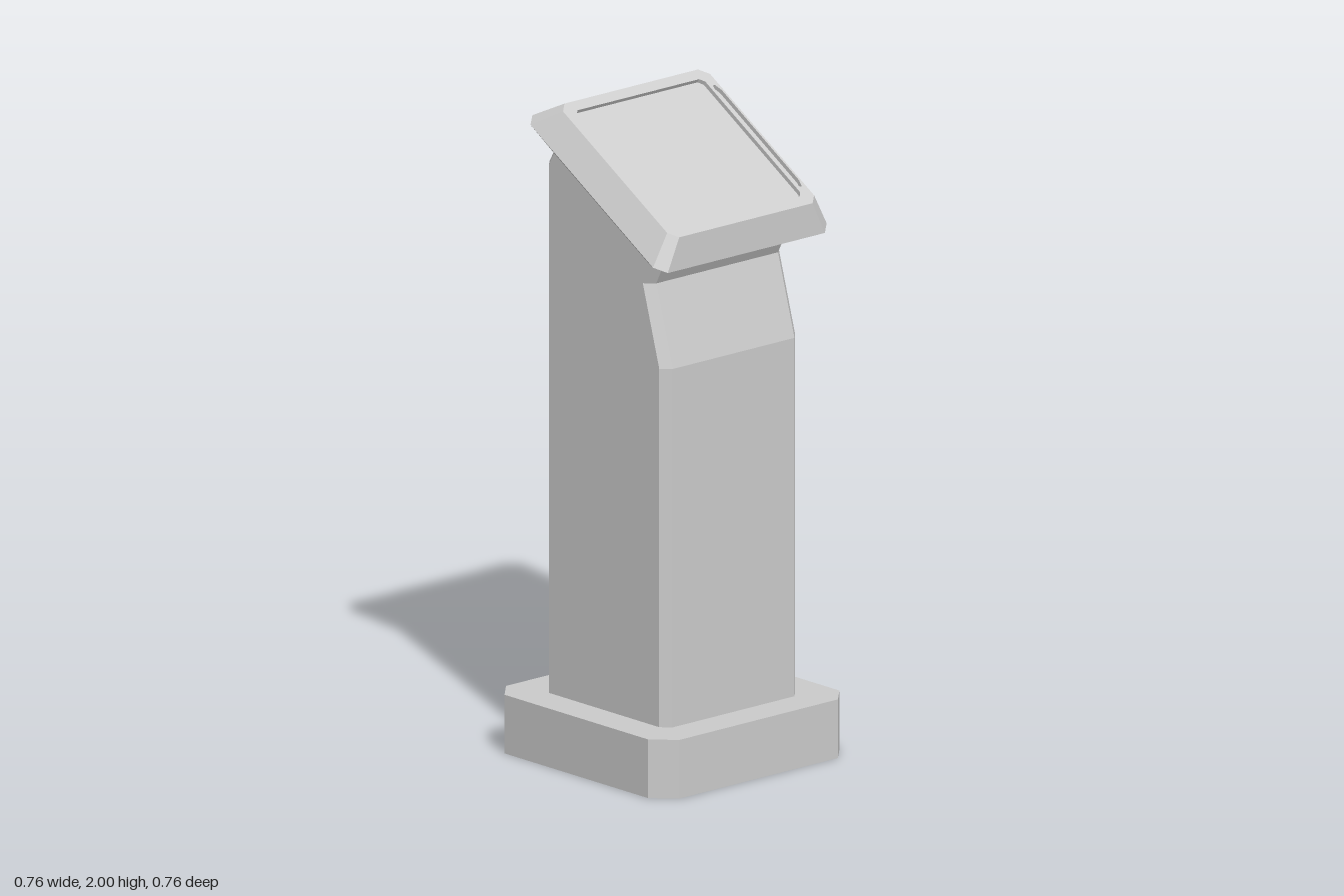
import * as THREE from 'three';

const material = new THREE.MeshStandardMaterial({ color: 0xcccccc, flatShading: true });

// Rectangle with cut corners as [x, z] points, counter-clockwise from above
function octagon(hx, hz, cx, cz = cx, x0 = 0) {
  return [
    [-hx + cx, hz], [hx - cx, hz], [hx, hz - cz], [hx, -hz + cz],
    [hx - cx, -hz], [-hx + cx, -hz], [-hx, -hz + cz], [-hx, hz - cz],
  ].map(([x, z]) => [x + x0, z]);
}

const ringAt = (y, points) => points.map(([x, z]) => [x, y, z]);

// Skin between rings listed from bottom to top
function loft(rings, capTop = true) {
  const n = rings[0].length, pos = [];
  const tri = (a, b, c) => pos.push(...a, ...b, ...c);
  for (let k = 0; k + 1 < rings.length; k++) {
    const lo = rings[k], hi = rings[k + 1];
    for (let i = 0; i < n; i++) {
      const j = (i + 1) % n;
      tri(lo[i], lo[j], hi[j]);
      tri(lo[i], hi[j], hi[i]);
    }
  }
  const first = rings[0], last = rings[rings.length - 1];
  for (let i = 1; i + 1 < n; i++) {
    tri(first[0], first[i + 1], first[i]);
    if (capTop) tri(last[0], last[i], last[i + 1]);
  }
  const g = new THREE.BufferGeometry();
  g.setAttribute('position', new THREE.Float32BufferAttribute(pos, 3));
  g.computeVertexNormals();
  return g;
}

function part(name, geometry, parent) {
  const mesh = new THREE.Mesh(geometry, material);
  mesh.name = name;
  parent.add(mesh);
  return mesh;
}

const toVectors = (points) => points.map(([x, z]) => new THREE.Vector2(x, -z));

export function createModel() {
  const model = new THREE.Group();
  model.name = 'kiosk';

  // Base plinth
  const foot = octagon(0.38, 0.38, 0.065);
  part('base', loft([ringAt(0, foot), ringAt(0.18, foot)]), model);

  // Column: front and back edges follow separate [y, z] profiles
  const half = 0.27;
  const section = octagon(half, half, 0.028);
  const front = [[0.18, 0.27], [1.28, 0.27], [1.527, 0.198], [1.6, 0.235]];
  const back = [[0.18, -0.27], [1.33, -0.27], [1.8, -0.27], [1.86, -0.236]];
  const columnRings = front.map(([fy, fz], k) => {
    const [by, bz] = back[k];
    return section.map(([x, z]) => (z > 0 ? [x, fy, fz + z - half] : [x, by, bz + z + half]));
  });
  part('column', loft(columnRings), model);

  // Tilted head
  const head = new THREE.Group();
  head.name = 'head';
  head.position.set(0, 1.778, 0.029);
  head.rotation.x = THREE.MathUtils.degToRad(30.9);
  model.add(head);

  const topY = 0.085, recess = 0.013;
  const face = octagon(0.292, 0.293, 0.027);
  part('headShell', loft([
    ringAt(-0.073, octagon(0.27, 0.268, 0.028)),
    ringAt(0, octagon(0.345, 0.346, 0.033)),
    ringAt(topY, face),
  ], false), head);

  // Bezel plate with openings for the screen and the card slot
  const plate = new THREE.Shape(toVectors(face));
  plate.holes.push(
    new THREE.Path(toVectors(octagon(0.255, 0.257, 0.014)).reverse()),
    new THREE.Path(toVectors(octagon(0.0115, 0.222, 0.008, 0.024, 0.2735)).reverse()),
  );
  const bezel = new THREE.ExtrudeGeometry(plate, { depth: recess, bevelEnabled: false });
  bezel.rotateX(-Math.PI / 2);
  part('bezel', bezel, head).position.y = topY - recess;

  // Sunken floor that forms the screen and the bottom of the slot
  const screen = new THREE.ShapeGeometry(new THREE.Shape(toVectors(face)));
  screen.rotateX(-Math.PI / 2);
  part('screen', screen, head).position.y = topY - recess;

  return model;
}
